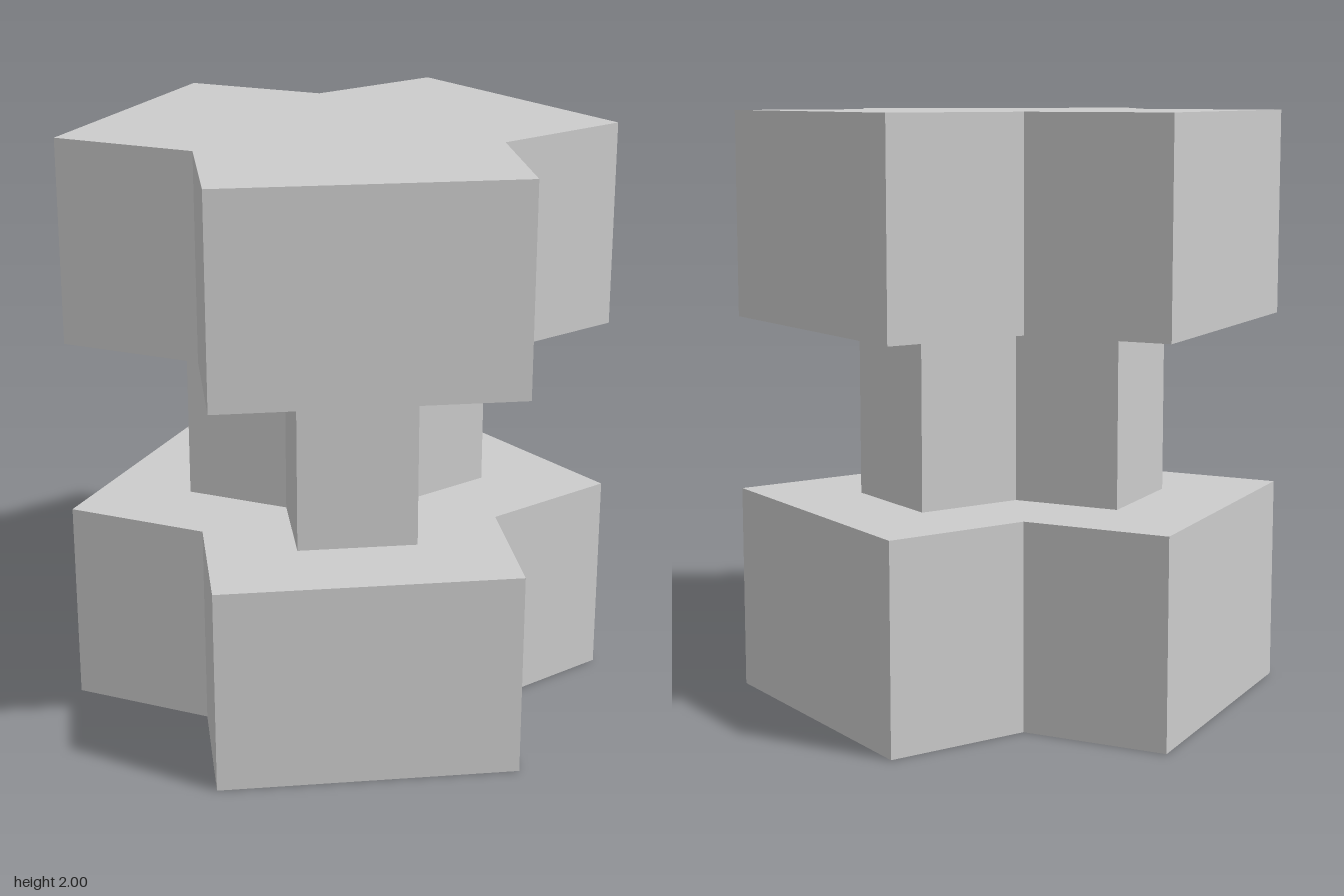
import * as THREE from 'three';

const CENTER_X = -0.022; // shared axis of the three-armed blocks

// Three-armed prism: square-ended arms of equal width, 120 degrees apart
function armedPrism(name, width, length, y0, y1, material) {
  const inner = width / (2 * Math.sqrt(3)); // axis to the root of an arm
  const points = [];
  for (let i = 0; i < 3; i++) {
    const a = Math.PI + (i * 2 * Math.PI) / 3;
    for (const [r, s] of [[inner + length, -width / 2], [inner + length, width / 2], [inner, width / 2]]) {
      points.push(new THREE.Vector2(
        CENTER_X + r * Math.cos(a) - s * Math.sin(a),
        r * Math.sin(a) + s * Math.cos(a)
      ));
    }
  }
  const geometry = new THREE.ExtrudeGeometry(new THREE.Shape(points), { depth: y1 - y0, bevelEnabled: false });
  geometry.rotateX(-Math.PI / 2); // stand the extrusion upright
  geometry.translate(0, y0, 0);
  const mesh = new THREE.Mesh(geometry, material);
  mesh.name = name;
  return mesh;
}

export function createModel() {
  const group = new THREE.Group();
  group.name = 'threeArmedSpool';
  const material = new THREE.MeshStandardMaterial({ color: 0xcccccc, flatShading: true });
  group.add(
    armedPrism('lowerBlock', 1, 0.5, 0, 0.7, material),
    armedPrism('waist', 0.4, 0.37, 0.7, 1.3, material),
    armedPrism('upperBlock', 1, 0.5, 1.3, 2, material)
  );
  return group;
}
